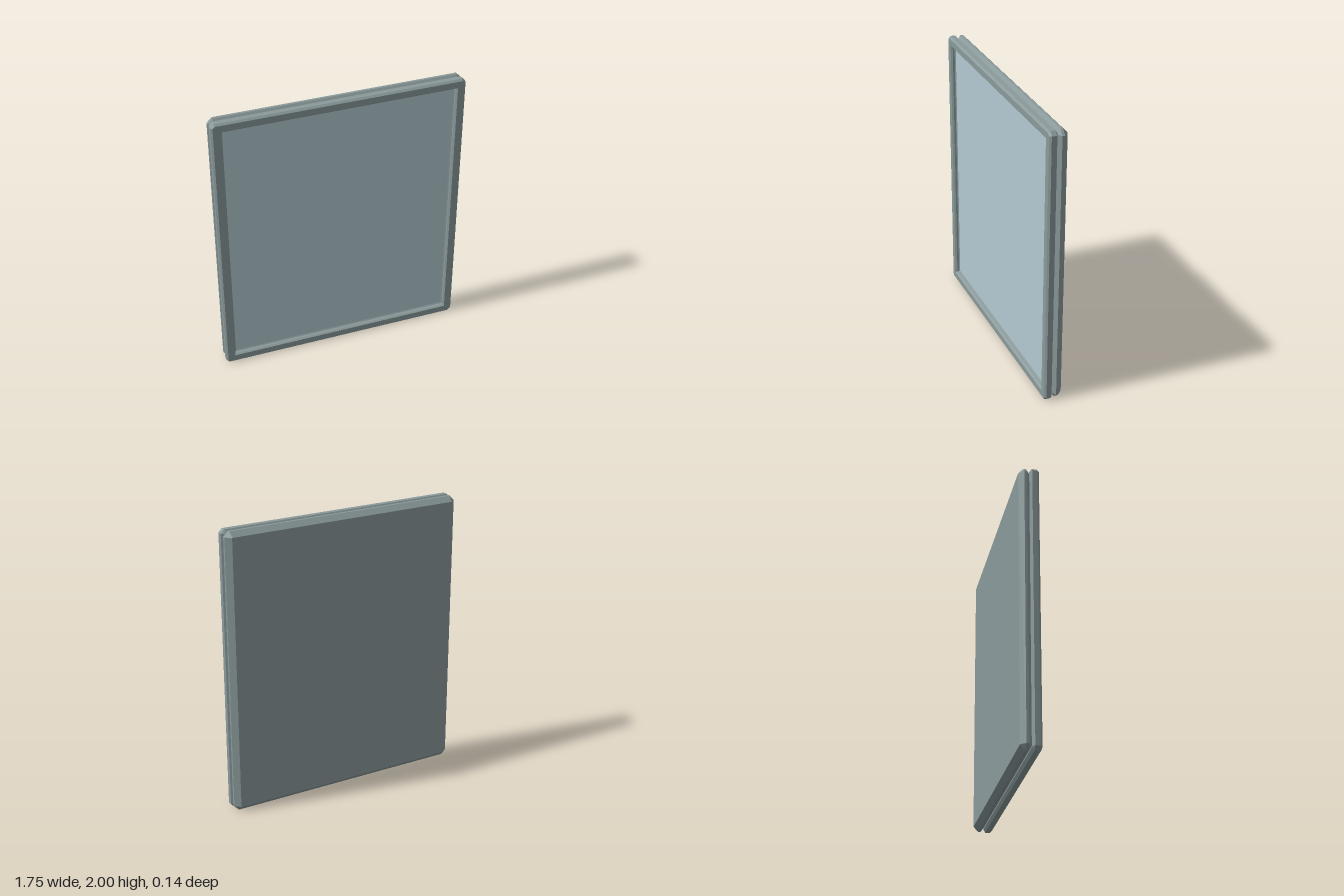
import * as THREE from 'three';

// Rectangle outline with cut corners, counter-clockwise seen from the front
function outline([w, h, cut, z]) {
  const a = w - cut, b = h - cut;
  return [[w, -b], [w, b], [a, h], [-a, h], [-w, b], [-w, -b], [-a, -h], [a, -h]]
    .map(([x, y]) => [x, y + 1, z]);
}

// Skins a row of outlines, optionally closing the first and last
function loft(sections, capStart, capEnd) {
  const rings = sections.map(outline), pos = [];
  const tri = (a, b, c) => pos.push(...a, ...b, ...c);
  for (let r = 0; r < rings.length - 1; r++) {
    for (let i = 0; i < 8; i++) {
      const j = (i + 1) % 8, a = rings[r], b = rings[r + 1];
      tri(a[i], a[j], b[j]);
      tri(a[i], b[j], b[i]);
    }
  }
  const first = rings[0], last = rings[rings.length - 1];
  for (let i = 1; i < 7; i++) {
    if (capStart) tri(first[0], first[i + 1], first[i]);
    if (capEnd) tri(last[0], last[i], last[i + 1]);
  }
  const geo = new THREE.BufferGeometry();
  geo.setAttribute('position', new THREE.Float32BufferAttribute(pos, 3));
  geo.computeVertexNormals();
  return geo;
}

export function createModel() {
  const group = new THREE.Group();
  const frameMat = new THREE.MeshStandardMaterial({ color: 0x8b9a9b });
  frameMat.name = 'grey frame';
  const glassMat = new THREE.MeshStandardMaterial({ color: 0xb4cad2 });
  glassMat.name = 'pale blue glass';

  const add = (name, geo, mat) => {
    const mesh = new THREE.Mesh(geo, mat);
    mesh.name = name;
    group.add(mesh);
    return mesh;
  };

  // Rear panel, bevelled on both sides: half width, half height, corner cut, z
  add('backPanel', loft([
    [0.835, 0.965, 0.002, -0.068],
    [0.873, 1.0, 0.035, -0.034],
    [0.873, 1.0, 0.035, -0.016],
    [0.838, 0.968, 0.004, 0.006],
  ], true, true), frameMat);

  // Front frame with a bevelled rim and a stepped inner lip
  add('frontFrame', loft([
    [0.848, 0.978, 0.004, 0.006],
    [0.873, 1.0, 0.025, 0.02],
    [0.873, 1.0, 0.025, 0.055],
    [0.86, 0.987, 0.014, 0.067],
    [0.815, 0.942, 0.001, 0.067],
    [0.805, 0.932, 0.001, 0.055],
    [0.803, 0.93, 0.001, 0.042],
    [0.793, 0.92, 0.001, 0.035],
  ], true, false), frameMat);

  // Recessed pane
  const glass = add('glassPane', new THREE.BoxGeometry(1.6, 1.85, 0.008), glassMat);
  glass.position.set(0, 1, 0.032);

  return group;
}
